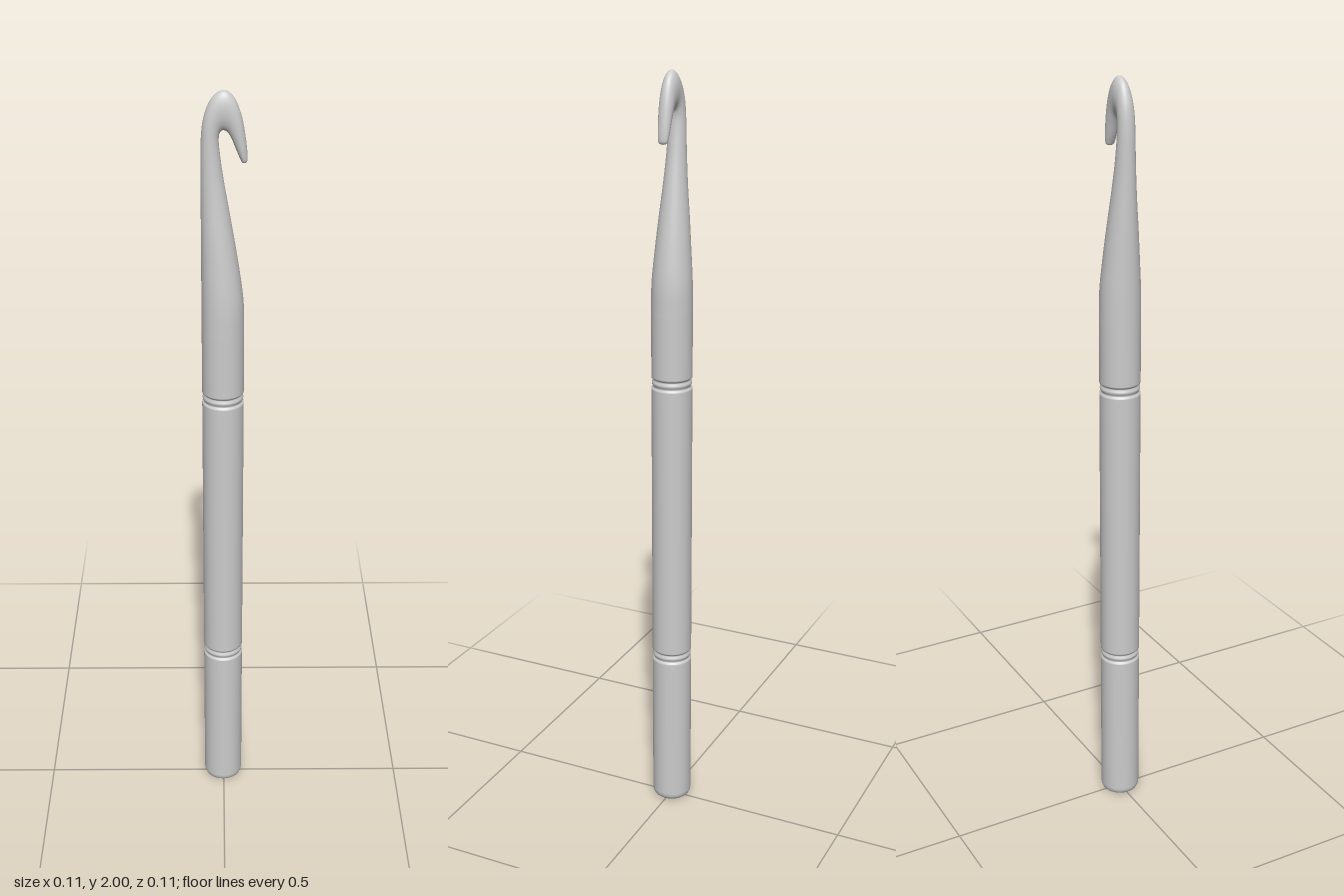
import * as THREE from 'three';

const material = new THREE.MeshStandardMaterial({ color: 0xcccccc });
const AXIS_X = -0.002, RADIUS = 0.053;

// Round shaft with a softened base and two shallow decorative grooves
function makeHandle() {
  const profile = [[0, 0], [0.036, 0], [0.043, 0.002], [0.049, 0.007], [0.052, 0.014], [RADIUS, 0.022]];
  for (const y of [0.447, 1.222]) {
    for (const [r, dy] of [[0, -0.017], [0, -0.014], [-0.004, -0.011], [-0.005, -0.008], [-0.002, -0.004],
      [-0.001, 0], [-0.002, 0.004], [-0.005, 0.008], [-0.004, 0.011], [0, 0.014], [0, 0.017]]) {
      profile.push([RADIUS + r, y + dy]);
    }
  }
  profile.push([RADIUS, 1.4]);
  const geometry = new THREE.LatheGeometry(profile.map(([r, y]) => new THREE.Vector2(r, y)), 48);
  const mesh = new THREE.Mesh(geometry, material);
  mesh.position.x = AXIS_X;
  mesh.name = 'handle';
  return mesh;
}

// Tapering neck and hook: elliptical sections spanning an outer and an inner edge
function makeHook() {
  // outer x, outer y, inner x, inner y, half depth
  const sections = [
    [-0.055, 1.40, 0.051, 1.40, 0.053],
    [-0.055, 1.48, 0.049, 1.48, 0.052],
    [-0.055, 1.56, 0.039, 1.56, 0.046],
    [-0.055, 1.64, 0.026, 1.64, 0.039],
    [-0.055, 1.72, 0.012, 1.72, 0.031],
    [-0.055, 1.80, -0.002, 1.80, 0.025],
    [-0.054, 1.88, -0.011, 1.87, 0.022],
    [-0.047, 1.938, -0.011, 1.894, 0.021],
    [-0.028, 1.982, -0.007, 1.904, 0.020],
    [0.000, 2.000, 0.000, 1.907, 0.020],
    [0.025, 1.982, 0.010, 1.901, 0.019],
    [0.042, 1.94, 0.020, 1.883, 0.018],
    [0.052, 1.885, 0.031, 1.856, 0.016],
    [0.056, 1.845, 0.040, 1.836, 0.013],
    [0.055, 1.833, 0.044, 1.830, 0.009],
    [0.050, 1.829, 0.050, 1.829, 0.000],
  ];
  const outer = new THREE.CatmullRomCurve3(sections.map(s => new THREE.Vector3(s[0], s[1], s[4])), false, 'catmullrom');
  const inner = new THREE.CatmullRomCurve3(sections.map(s => new THREE.Vector3(s[2], s[3], s[4])), false, 'catmullrom');
  const rows = (sections.length - 1) * 5, sides = 48;
  const positions = [], index = [];
  for (let i = 0; i <= rows; i++) {
    const o = outer.getPoint(i / rows), n = inner.getPoint(i / rows);
    for (let j = 0; j < sides; j++) {
      const a = j / sides * Math.PI * 2, t = (1 + Math.cos(a)) / 2;
      positions.push(o.x + (n.x - o.x) * t, o.y + (n.y - o.y) * t, o.z * Math.sin(a));
      if (i < rows) {
        const p = i * sides + j, q = i * sides + (j + 1) % sides;
        index.push(p, p + sides, q, q, p + sides, q + sides);
      }
    }
  }
  const geometry = new THREE.BufferGeometry();
  geometry.setAttribute('position', new THREE.Float32BufferAttribute(positions, 3));
  geometry.setIndex(index);
  geometry.computeVertexNormals();
  const mesh = new THREE.Mesh(geometry, material);
  mesh.name = 'neckAndHook';
  return mesh;
}

export function createModel() {
  const group = new THREE.Group();
  group.name = 'crochetHook';
  group.add(makeHandle(), makeHook());
  return group;
}
